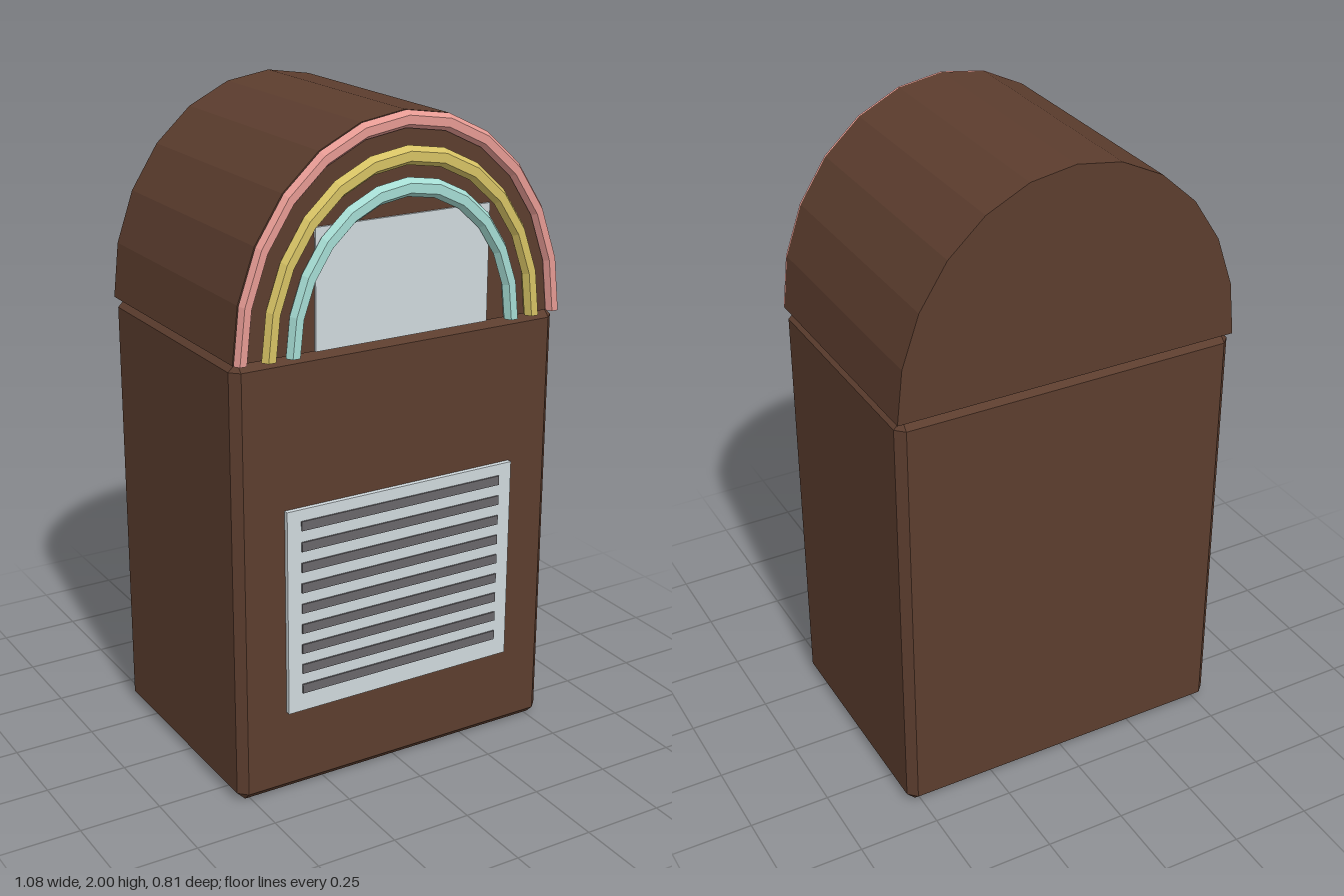
import * as THREE from 'three';
import { mergeGeometries } from 'three/addons/utils/BufferGeometryUtils.js';
import { ConvexGeometry } from 'three/addons/geometries/ConvexGeometry.js';

const HALF_W = 0.54, BODY_H = 1.36, ARCH_H = 0.64, BACK = -0.405, FRONT = 0.367;
const SEGMENTS = 12;

function material(name, color) {
  const m = new THREE.MeshStandardMaterial({ color });
  m.name = name;
  return m;
}

// Box with every edge cut at 45 degrees
function chamferedBox(w, h, d, c) {
  const pts = [];
  for (const sx of [-1, 1]) for (const sy of [-1, 1]) for (const sz of [-1, 1]) {
    for (let flat = 0; flat < 3; flat++) {
      const inset = [c, c, c];
      inset[flat] = 0;
      pts.push(new THREE.Vector3(
        sx * (w / 2 - inset[0]), sy * (h / 2 - inset[1]), sz * (d / 2 - inset[2])));
    }
  }
  return new ConvexGeometry(pts);
}

// Faceted half ring with six-sided section and closed feet
function archTube(radius, tube) {
  const parts = [new THREE.TorusGeometry(radius, tube, 6, SEGMENTS, Math.PI)];
  for (const side of [-1, 1]) {
    parts.push(new THREE.CircleGeometry(tube, 6).rotateX(Math.PI / 2).translate(side * radius, 0, 0));
  }
  const geo = mergeGeometries(parts).toNonIndexed();
  geo.scale(1, ARCH_H / HALF_W, 1);
  geo.computeVertexNormals();
  return geo;
}

export function createModel() {
  const group = new THREE.Group();
  group.name = 'jukebox';
  const brown = material('brown wood', 0x5c3d2e);
  const silver = material('pale silver', 0xcfd8dc);
  const grey = material('dark grey', 0x69666a);
  const pink = material('pink', 0xe59a93);
  const yellow = material('yellow', 0xd6c264);
  const teal = material('teal', 0xa5dcd3);

  function add(name, geo, mat, x = 0, y = 0, z = 0) {
    const mesh = new THREE.Mesh(geo, mat);
    mesh.name = name;
    mesh.position.set(x, y, z);
    group.add(mesh);
    return mesh;
  }

  // Cabinet
  const depth = FRONT - BACK, midZ = (FRONT + BACK) / 2;
  add('cabinet', chamferedBox(HALF_W * 2, BODY_H, depth, 0.026), brown, 0, BODY_H / 2, midZ);

  // Arched top
  const outline = [];
  for (let i = 0; i <= SEGMENTS; i++) {
    const a = (i / SEGMENTS) * Math.PI;
    outline.push(new THREE.Vector2(HALF_W * Math.cos(a), ARCH_H * Math.sin(a)));
  }
  add('archedTop', new THREE.ExtrudeGeometry(new THREE.Shape(outline),
    { depth, bevelEnabled: false }), brown, 0, BODY_H, BACK);

  // Coloured tubes round the arch
  add('outerTube', archTube(0.519, 0.021), pink, 0, BODY_H, 0.373);
  add('middleTube', archTube(0.437, 0.023), yellow, 0, BODY_H, 0.383);
  add('innerTube', archTube(0.363, 0.023), teal, 0, BODY_H, 0.385);

  // Display window
  add('displayWindow', new THREE.BoxGeometry(0.57, 0.35, 0.008), silver, 0, BODY_H + 0.175, FRONT + 0.003);

  // Speaker grille with slats
  add('speakerPanel', new THREE.BoxGeometry(0.77, 0.64, 0.02), silver, 0, 0.585, FRONT + 0.005);
  for (let i = 0; i < 9; i++) {
    add('speakerSlat', new THREE.BoxGeometry(0.68, 0.029, 0.008), grey,
      0, 0.338 + i * 0.0646, FRONT + 0.016);
  }
  return group;
}
